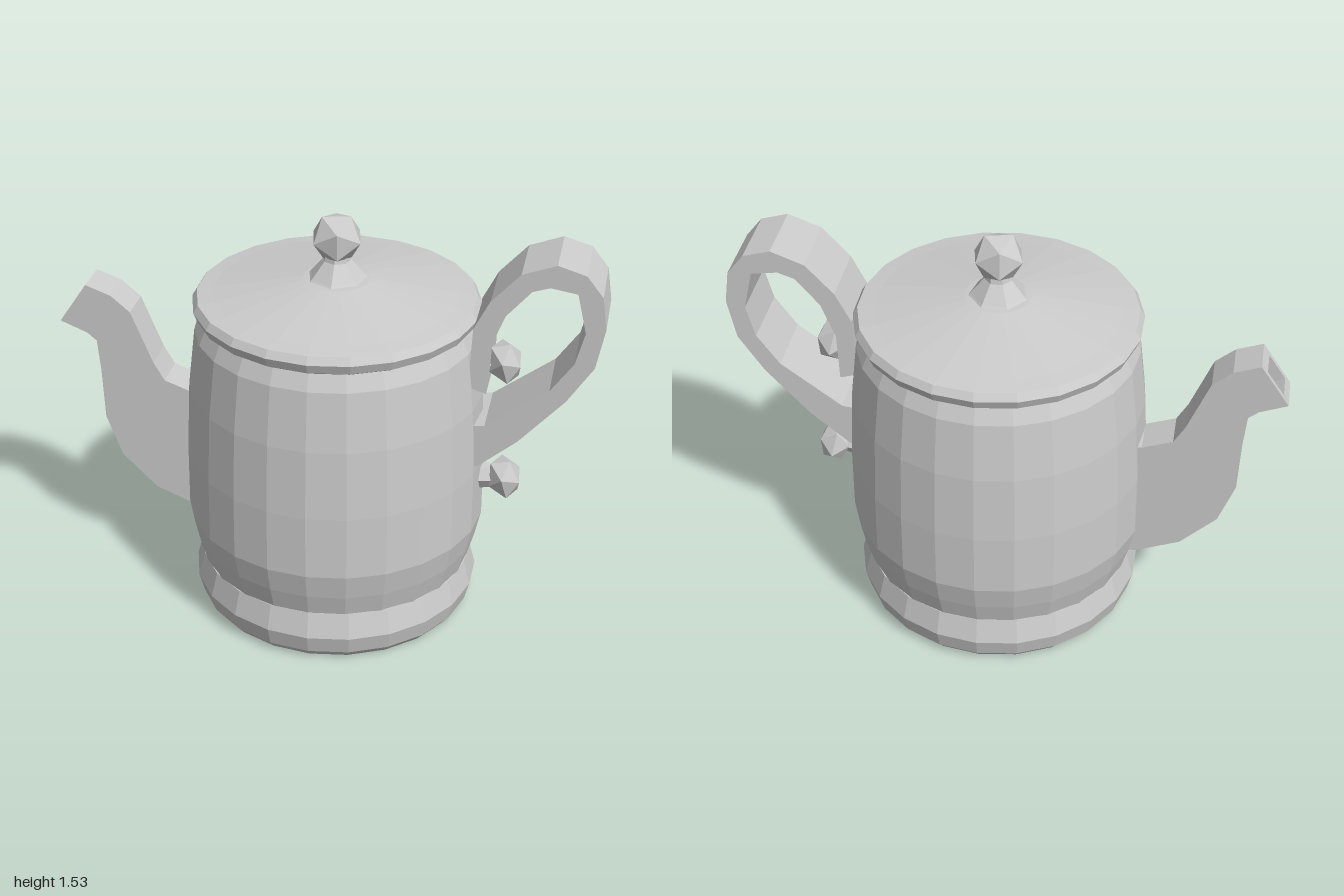
import * as THREE from 'three';

const AXIS = 0.04; // x of the pot's centre line

export function createModel() {
  const group = new THREE.Group();
  const material = new THREE.MeshStandardMaterial({ color: 0xcccccc, flatShading: true });

  const add = (name, geometry, x = 0, y = 0, z = 0) => {
    const mesh = new THREE.Mesh(geometry, material);
    mesh.name = name;
    mesh.position.set(x, y, z);
    group.add(mesh);
    return mesh;
  };
  const points = (list) => list.map(([x, y]) => new THREE.Vector2(x, y));
  const turned = (name, profile, sides) =>
    add(name, new THREE.LatheGeometry(points(profile), sides), AXIS, 0, -0.003);
  // Side outline in x/y, given a thickness and placed at the z of its back
  const slab = (name, outline, back, depth) =>
    add(name, new THREE.ExtrudeGeometry(new THREE.Shape(points(outline)),
      { depth, bevelEnabled: false }), 0, 0, back);

  // Pot body with a bulging foot
  turned('foot', [[0, 0], [0.49, 0], [0.515, 0.03], [0.533, 0.1], [0.508, 0.195], [0.4, 0.2]], 22);
  turned('body', [[0.505, 0.19], [0.53, 0.28], [0.551, 0.38], [0.549, 0.62], [0.536, 0.88],
    [0.51, 1.1], [0.482, 1.165], [0, 1.165]], 24);

  // Lid with a rolled rim, rising gently to the knob stem
  turned('lid', [[0, 1.15], [0.47, 1.15], [0.503, 1.17], [0.517, 1.205], [0.5, 1.232],
    [0.44, 1.24], [0.12, 1.292], [0, 1.3]], 22);
  turned('lidStem', [[0.12, 1.28], [0.1, 1.3], [0.05, 1.36], [0.04, 1.41]], 7);
  add('lidKnob', new THREE.IcosahedronGeometry(0.096, 0), AXIS, 1.445, 0).rotation.set(0.1, 0.2, 0);

  // Flat-sided spout: a core with a recessed mouth between two cheeks
  const lowerLip = [[-1, 1.02], [-0.9, 0.98], [-0.865, 0.95], [-0.855, 0.83], [-0.848, 0.63],
    [-0.79, 0.47], [-0.66, 0.34], [-0.5, 0.275], [-0.4, 0.27]];
  const upperLip = [[-0.4, 0.77], [-0.5, 0.77], [-0.61, 0.81], [-0.65, 0.88], [-0.73, 1.08],
    [-0.8, 1.14], [-0.895, 1.175]];
  const mouth = [[-0.917, 1.143], [-0.86, 1.105], [-0.925, 1.018], [-0.98, 1.052]];
  slab('spoutCore', [...lowerLip, ...upperLip, ...mouth], -0.11, 0.1);
  slab('spoutCheekBack', [...lowerLip, ...upperLip], -0.13, 0.02);
  slab('spoutCheekFront', [...lowerLip, ...upperLip], -0.01, 0.02);

  // Broad ribbon handle: outer curve out, inner curve back
  slab('handle', [
    [0.5, 0.63], [0.58, 0.65], [0.72, 0.77], [0.88, 0.95], [0.97, 1.09], [0.998, 1.24],
    [0.98, 1.36], [0.92, 1.435], [0.82, 1.465], [0.7, 1.42], [0.6, 1.31], [0.545, 1.2],
    [0.535, 0.97], [0.6, 0.95],
    [0.605, 1.13], [0.655, 1.26], [0.74, 1.36], [0.8, 1.38], [0.895, 1.365], [0.93, 1.22],
    [0.9, 1.1], [0.82, 0.985], [0.6, 0.82], [0.5, 0.81],
  ], -0.125, 0.25);

  // Two faceted studs on short stems where the handle meets the body
  for (const [name, x, y, r] of [['upperStud', 0.65, 1.025, 0.078], ['lowerStud', 0.67, 0.55, 0.078]]) {
    const stud = add(name, new THREE.IcosahedronGeometry(r, 0), x, y, 0.01);
    stud.rotation.set(0.3, 0.1, 0.2);
    stud.scale.set(0.85, 1.15, 1);
    const stem = add(name + 'Stem', new THREE.CylinderGeometry(0.035, 0.06, 0.13, 6), x - 0.07, y, 0.01);
    stem.rotation.z = -Math.PI / 2;
  }

  return group;
}
